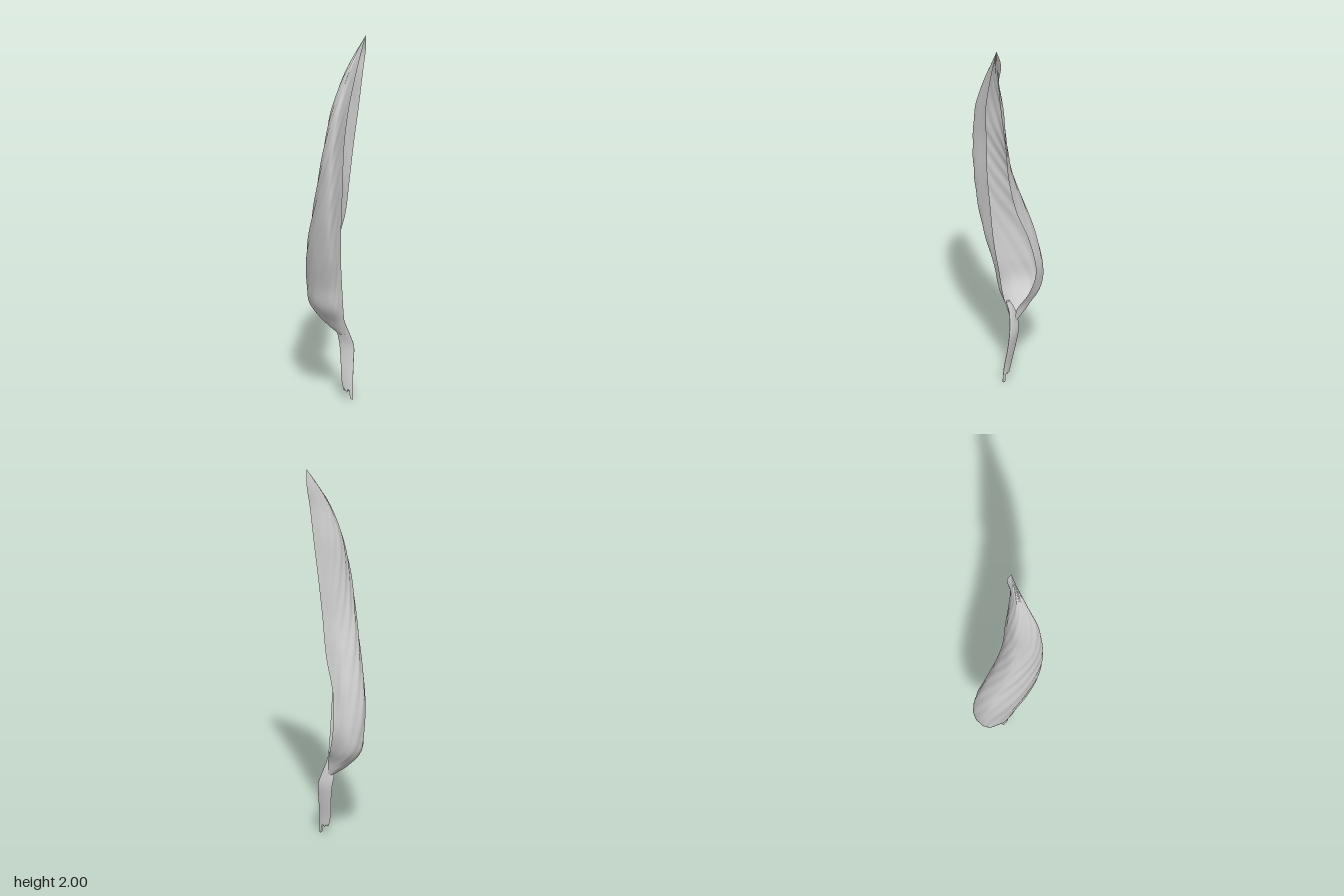
import * as THREE from 'three';

// Blade sections: height, then x,z pairs from the front edge round the back of the fold to the rear edge
const SECTIONS = [
  [0.34, 0.045, -0.07, 0.035, -0.063, 0.02, -0.06, 0.005, -0.067, 0.01, -0.078, 0.03, -0.08],
  [0.41, 0.05, -0.045, 0.02, -0.025, -0.035, -0.025, -0.088, -0.065, -0.06, -0.105, 0.025, -0.088],
  [0.5, 0.055, -0.02, 0.02, 0.028, -0.08, 0.02, -0.158, -0.06, -0.125, -0.135, -0.015, -0.135],
  [0.62, 0.058, 0, 0.02, 0.055, -0.09, 0.04, -0.172, -0.06, -0.13, -0.145, -0.045, -0.16],
  [0.8, 0.065, 0.03, 0.04, 0.105, -0.075, 0.08, -0.157, -0.04, -0.105, -0.12, -0.03, -0.13],
  [1.0, 0.075, 0.045, 0.05, 0.145, -0.045, 0.11, -0.108, 0, -0.055, -0.075, 0.035, -0.09],
  [1.2, 0.088, 0.055, 0.065, 0.16, -0.015, 0.125, -0.055, 0.03, -0.005, -0.035, 0.07, -0.067],
  [1.4, 0.095, 0.055, 0.072, 0.157, 0.015, 0.13, -0.01, 0.04, 0.03, -0.025, 0.095, -0.065],
  [1.6, 0.115, 0.045, 0.09, 0.127, 0.045, 0.1, 0.022, 0.03, 0.065, -0.03, 0.125, -0.06],
  [1.8, 0.138, 0, 0.113, 0.047, 0.09, 0.035, 0.08, 0.01, 0.11, -0.03, 0.15, -0.06],
  [1.92, 0.155, -0.035, 0.14, -0.015, 0.135, -0.02, 0.13, -0.03, 0.145, -0.055, 0.157, -0.08],
];

// Surface from a grid of points, row by row
function gridGeometry(rows) {
  const n = rows[0].length;
  const index = [];
  for (let j = 0; j < rows.length - 1; j++) {
    for (let i = 0; i < n - 1; i++) {
      const a = j * n + i;
      index.push(a, a + n, a + 1, a + 1, a + n, a + n + 1);
    }
  }
  const geometry = new THREE.BufferGeometry().setFromPoints(rows.flat());
  geometry.setIndex(index);
  geometry.computeVertexNormals();
  return geometry;
}

// Folded leaf blade, lofted through the sections with fine slanting veins
function bladeGeometry() {
  const rails = [];
  for (let k = 0; k < 6; k++) {
    const points = SECTIONS.map((s) => new THREE.Vector3(s[1 + 2 * k], s[0], s[2 + 2 * k]));
    points.push(new THREE.Vector3(0.168, 2, -0.06));
    rails.push(new THREE.CatmullRomCurve3(points, false, 'centripetal'));
  }
  const rows = [];
  const nv = 180, nu = 100;
  for (let j = 0; j <= nv; j++) {
    const v = j / nv;
    const section = new THREE.CatmullRomCurve3(rails.map((r) => r.getPoint(v)));
    const fade = Math.sin(Math.PI * v);
    const row = [];
    for (let i = 0; i <= nu; i++) {
      const u = i / nu;
      const p = section.getPoint(u);
      const t = section.getTangent(u);
      const vein = 0.0022 * Math.sin(60 * u + 75 * v + 2 * Math.sin(11 * v))
        + 0.0014 * Math.sin(31 * u + 34 * v + 3 * Math.sin(5 * u));
      const d = vein * fade * Math.sin(Math.PI * u);
      row.push(new THREE.Vector3(p.x - t.z * d, p.y, p.z + t.x * d));
    }
    rows.push(row);
  }
  return gridGeometry(rows);
}

// Flat stalk: height, left x, right x, z
function stalkGeometry() {
  const profile = [
    [0.03, 0.045, 0.098, -0.05], [0.1, 0.027, 0.094, -0.057], [0.2, 0.014, 0.09, -0.074],
    [0.28, 0.003, 0.087, -0.083], [0.34, -0.004, 0.07, -0.074], [0.4, 0.002, 0.052, -0.057],
    [0.45, 0.02, 0.047, -0.035],
  ];
  const left = new THREE.CatmullRomCurve3(profile.map(([y, a, , z]) => new THREE.Vector3(a, y, z)));
  const right = new THREE.CatmullRomCurve3(profile.map(([y, , b, z]) => new THREE.Vector3(b, y, z)));
  const rows = [];
  for (let j = 0; j <= 30; j++) {
    const a = left.getPoint(j / 30), b = right.getPoint(j / 30);
    const row = [];
    for (let i = 0; i <= 24; i++) {
      const angle = (i / 24) * Math.PI * 2;
      const w = 0.5 - 0.5 * Math.cos(angle);
      const p = a.clone().lerp(b, w);
      p.z += 0.007 * Math.sin(angle);
      // torn foot, longest on one side
      if (j === 0) p.y = w > 0.7 ? 0 : 0.045 + 0.012 * Math.sin(w * 14);
      row.push(p);
    }
    rows.push(row);
  }
  return gridGeometry(rows);
}

export function createModel() {
  const group = new THREE.Group();
  group.name = 'curledLeaf';
  const material = new THREE.MeshStandardMaterial({ color: 0xcccccc, side: THREE.DoubleSide });
  const add = (name, geometry) => {
    const mesh = new THREE.Mesh(geometry, material);
    mesh.name = name;
    group.add(mesh);
  };
  add('blade', bladeGeometry());
  add('stalk', stalkGeometry());
  return group;
}
